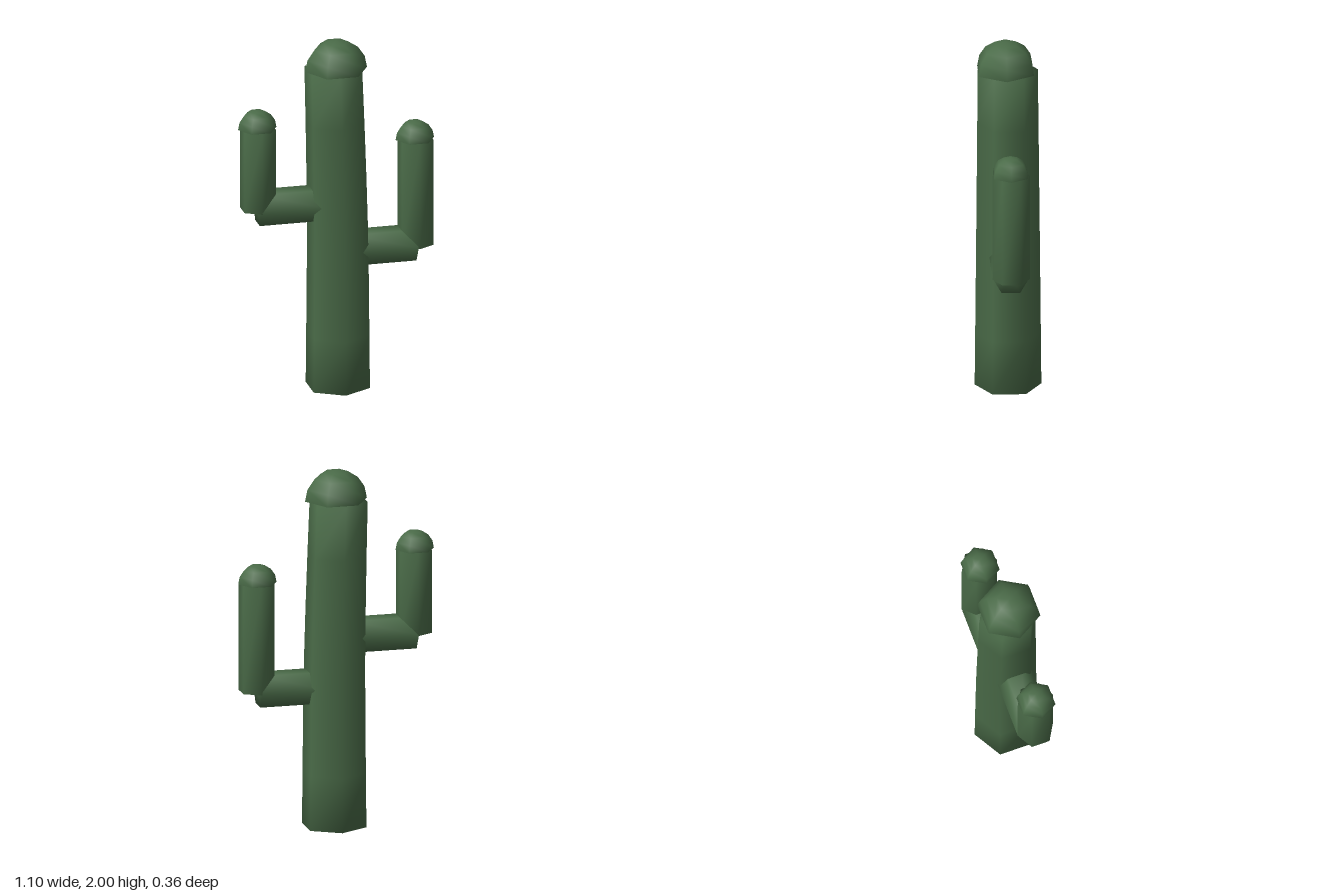
import * as THREE from 'three';
import { mergeVertices } from 'three/addons/utils/BufferGeometryUtils.js';

const SIDES = 6;

// Weld caps to sides so the shading runs softly over the edges
function soften(geometry) {
  geometry.deleteAttribute('normal');
  geometry.deleteAttribute('uv');
  const welded = mergeVertices(geometry, 1e-4);
  welded.computeVertexNormals();
  return welded;
}

export function createModel() {
  const group = new THREE.Group();
  group.name = 'cactus';
  const green = new THREE.MeshStandardMaterial({ color: 0x4a6b48, side: THREE.DoubleSide });
  green.name = 'cactusGreen';

  function add(name, geometry, x, y, z, parent = group) {
    const mesh = new THREE.Mesh(geometry, green);
    mesh.name = name;
    mesh.position.set(x, y, z);
    parent.add(mesh);
    return mesh;
  }

  // Half-dome, open underneath
  const dome = (r, height) =>
    new THREE.SphereGeometry(r, SIDES, 4, 0, Math.PI * 2, 0, Math.PI / 2).scale(1, height / r, 1);

  // Trunk: tapered hexagonal column leaning slightly near the top
  const height = 1.83;
  const trunk = new THREE.CylinderGeometry(0.164, 0.182, height, SIDES, 6);
  trunk.translate(0, height / 2, 0);
  const p = trunk.attributes.position;
  for (let i = 0; i < p.count; i++) {
    const t = Math.max(0, (p.getY(i) - 0.75) / (height - 0.75));
    p.setX(i, p.getX(i) + 0.012 - 0.025 * Math.pow(t, 1.4));
  }
  add('trunk', soften(trunk), 0, 0, 0);
  add('trunkDome', dome(0.174, 0.17), -0.001, height, 0.0125);

  // Arms: horizontal stub, upright and dome
  const r = 0.102;
  for (const [name, side, elbowY, topY] of [
    ['leftArm', 1, 0.79, 1.39],
    ['rightArm', -1, 1.065, 1.525],
  ]) {
    const arm = new THREE.Group();
    arm.name = name;
    group.add(arm);
    const inner = 0.08, outer = 0.44;
    const stub = new THREE.CylinderGeometry(r, r, outer - inner, SIDES).rotateZ(Math.PI / 2);
    add(name + 'Stub', soften(stub), side * (inner + outer) / 2, elbowY, 0.005, arm);
    const bottom = elbowY - 0.006;
    const upright = new THREE.CylinderGeometry(r, r, topY - bottom, SIDES);
    add(name + 'Upright', soften(upright), side * 0.4425 + 0.005, (topY + bottom) / 2, 0.005, arm);
    add(name + 'Dome', dome(0.108, 0.107), side * 0.4425, topY, 0.0075, arm);
  }
  return group;
}
